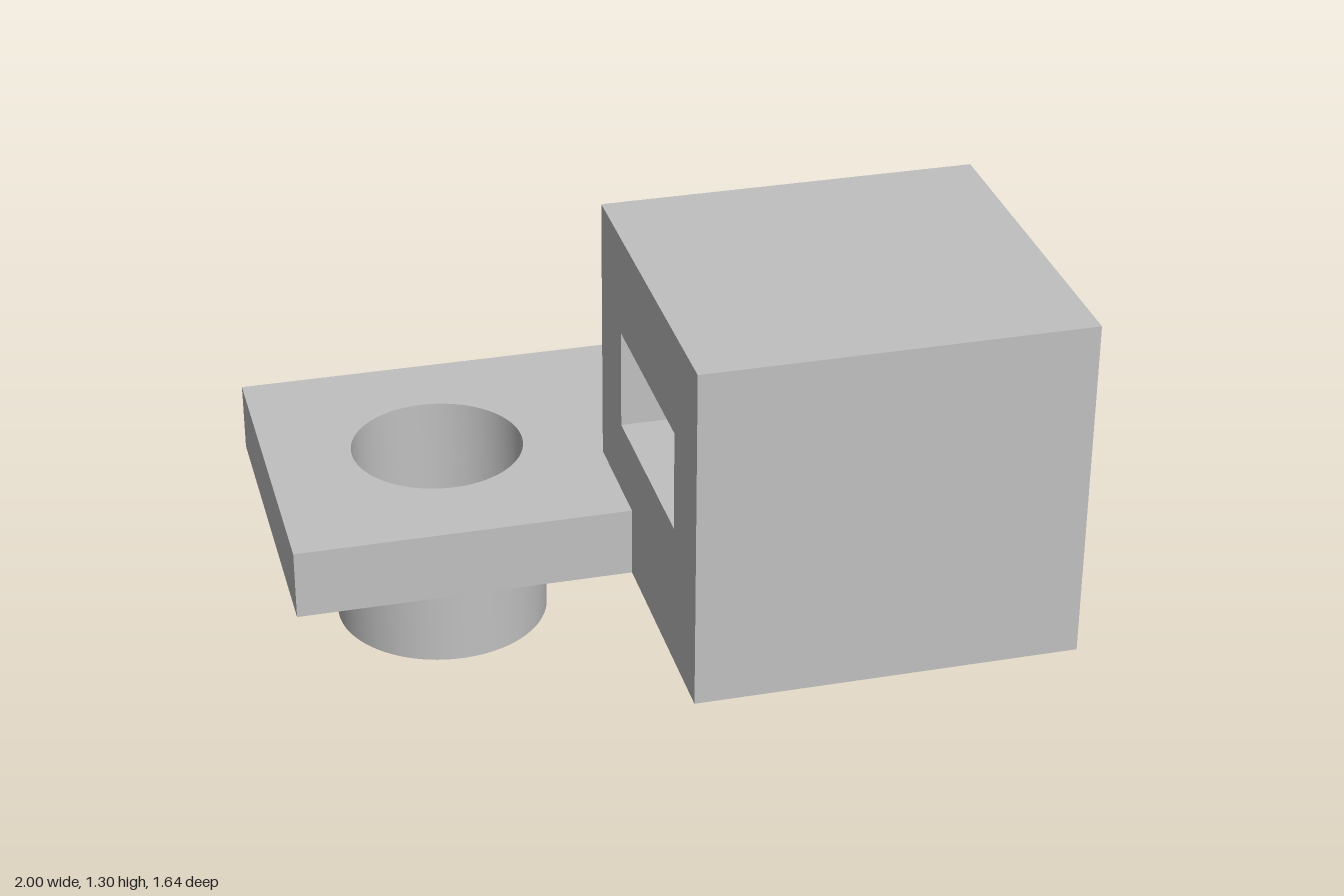
import * as THREE from 'three';
import { toCreasedNormals } from 'three/addons/utils/BufferGeometryUtils.js';

const BASE = 0.33;                              // underside of plate and block
const BORE = { x: -0.51, z: -0.34, inner: 0.245, outer: 0.305 };

const polygon = (points) => new THREE.Shape(points.map(([x, y]) => new THREE.Vector2(x, y)));

const circle = (radius, Kind = THREE.Path) =>
  new Kind().absarc(BORE.x, BORE.z, radius, 0, Math.PI * 2, false);

// Extrude a shape, keeping corners sharp and curves smooth
function extrude(shape, depth) {
  const geometry = new THREE.ExtrudeGeometry(shape, { depth, bevelEnabled: false, curveSegments: 64 });
  return toCreasedNormals(geometry, 0.5);
}

// Shape drawn in (x, z), filling downward from the given top height
function horizontal(shape, top, bottom) {
  return extrude(shape, top - bottom).rotateX(Math.PI / 2).translate(0, top, 0);
}

export function createModel() {
  const group = new THREE.Group();
  const grey = new THREE.MeshStandardMaterial({ color: 0xc0c0c0 });
  grey.name = 'grey';

  const add = (name, geometry) => {
    const mesh = new THREE.Mesh(geometry, grey);
    mesh.name = name;
    group.add(mesh);
  };

  // L-shaped plate wrapped around the block's corner, with a round bore
  const plate = polygon([
    [-1, -0.82], [1, -0.82], [1, -0.19], [-0.06, -0.19], [-0.06, 0.15], [-1, 0.15],
  ]);
  plate.holes.push(circle(BORE.inner));
  add('basePlate', horizontal(plate, 0.53, BASE));

  // Hollow collar under the bore
  const collar = circle(BORE.outer, THREE.Shape);
  collar.holes.push(circle(BORE.inner));
  add('collar', horizontal(collar, BASE, 0));

  // Block drawn in (z, y), with a rectangular slot running through along x
  const block = polygon([[-0.19, BASE], [0.82, BASE], [0.82, 1.305], [-0.19, 1.305]]);
  block.holes.push(polygon([[0.03, 0.735], [0.03, 1.02], [0.6, 1.02], [0.6, 0.735]]));
  add('slottedBlock', extrude(block, 1.06).rotateY(-Math.PI / 2).translate(1, 0, 0));

  return group;
}
